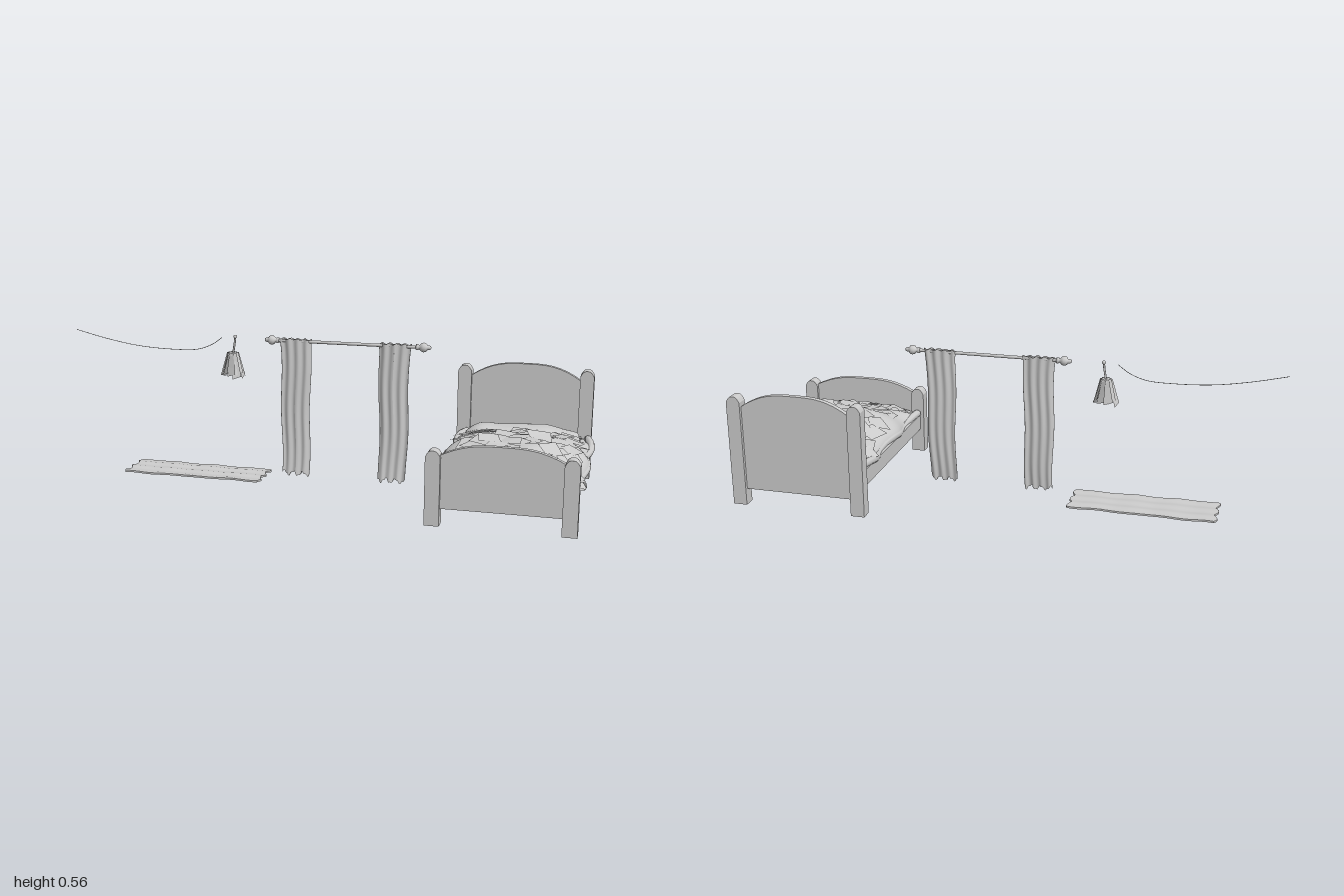
import * as THREE from 'three';
import { mergeGeometries } from 'three/addons/utils/BufferGeometryUtils.js';

const smooth = new THREE.MeshStandardMaterial({ color: 0xcccccc, side: THREE.DoubleSide });
const flat = new THREE.MeshStandardMaterial({ color: 0xcccccc, side: THREE.DoubleSide, flatShading: true });

let seed = 7;
const rnd = (a = 0, b = 1) => {
  seed = (seed * 16807) % 2147483647;
  return a + (b - a) * seed / 2147483647;
};

function add(parent, name, geo, mat = flat, x = 0, y = 0, z = 0) {
  const m = new THREE.Mesh(geo, mat);
  m.name = name;
  m.position.set(x, y, z);
  parent.add(m);
  return m;
}

// Move every vertex by a rule
function warp(geo, rule) {
  const p = geo.attributes.position, v = new THREE.Vector3();
  for (let i = 0; i < p.count; i++) {
    rule(v.fromBufferAttribute(p, i));
    p.setXYZ(i, v.x, v.y, v.z);
  }
  geo.computeVertexNormals();
  return geo;
}

// Upright shape with an arched top, extruded along z and centred on z = 0
function archedBoard(width, bottom, shoulder, top, depth) {
  const w = width / 2, s = new THREE.Shape();
  s.moveTo(-w, bottom);
  s.lineTo(w, bottom);
  s.lineTo(w, shoulder);
  s.bezierCurveTo(w * 0.6, top, w * 0.35, top, 0, top);
  s.bezierCurveTo(-w * 0.35, top, -w * 0.6, top, -w, shoulder);
  const g = new THREE.ExtrudeGeometry(s, { depth, bevelEnabled: false, curveSegments: 8 });
  return g.translate(0, 0, -depth / 2);
}

// Blanket height along the bed, from head to foot
const ridge = new THREE.SplineCurve([
  [-0.32, 0.165], [-0.25, 0.18], [-0.18, 0.2], [-0.1, 0.225], [-0.02, 0.243], [0.08, 0.247],
  [0.16, 0.235], [0.24, 0.21], [0.29, 0.185], [0.32, 0.16]].map(p => new THREE.Vector2(...p)));
const bedX = 0.727;

// Point on the blanket for u across and v along, both from -1 to 1
function blanketPoint(u, v) {
  const c = ridge.getPoint((v + 1) / 2);
  const hem = 0.15 + 0.008 * Math.sin(c.x * 22 + 1);
  const dome = Math.sqrt(Math.max(0, 1 - Math.pow(Math.abs(u), 2.6)));
  const bump = 0.006 * Math.sin(u * 7 + c.x * 18) * Math.cos(c.x * 25 - u * 3) * dome;
  const half = 0.252 + 0.009 * Math.sin(c.x * 24);
  return new THREE.Vector3(bedX + half * u, hem + (c.y - hem) * dome + bump, c.x + 0.006 * Math.sin(u * 9));
}

function buildBed() {
  const bed = new THREE.Group();
  bed.name = 'bed';
  bed.position.x = 0;
  // Head and foot: two round-topped posts and an arched panel each
  for (const [end, z, post, edge, top] of [['head', -0.347, 0.42, 0.375, 0.435], ['foot', 0.347, 0.265, 0.245, 0.29]]) {
    for (const x of [0.481, 0.944])
      add(bed, end + 'Post', archedBoard(0.052, 0, post - 0.022, post, 0.045), flat, x, 0, z);
    add(bed, end + 'Board', archedBoard(0.43, 0.06, edge, top, 0.02), flat, 0.7125, 0, z);
  }
  // Side rails and base
  for (const x of [0.481, 0.944])
    add(bed, 'sideRail', new THREE.BoxGeometry(0.022, 0.06, 0.65), flat, x, 0.125, 0);
  add(bed, 'bedBase', new THREE.BoxGeometry(0.45, 0.012, 0.66), flat, 0.7125, 0.103, 0);
  add(bed, 'mattress', new THREE.BoxGeometry(0.44, 0.06, 0.64), flat, 0.7125, 0.138, 0);
  // Soft pillow at the head
  const pillow = warp(new THREE.SphereGeometry(1, 32, 16), v => {
    const sq = a => Math.sign(a) * Math.pow(Math.abs(a), 0.6);
    v.set(sq(v.x) * 0.215, v.y * 0.04 + 0.004 * Math.sin(v.x * 8), sq(v.z) * 0.063);
  });
  add(bed, 'pillow', pillow, smooth, 0.715, 0.174, -0.258);
  // Rumpled blanket
  const cover = warp(new THREE.PlaneGeometry(2, 2, 44, 56), v => {
    v.copy(blanketPoint(Math.sin(v.x * Math.PI / 2), -v.y));
  });
  add(bed, 'blanket', cover, smooth);
  // Rolled hem along both long sides
  for (const side of [-1, 1]) {
    const path = [];
    for (let i = 0; i <= 16; i++) {
      const p = blanketPoint(side, -0.97 + 1.94 * i / 16);
      path.push(p.add(new THREE.Vector3(-side * 0.012, 0.008, 0)));
    }
    add(bed, 'blanketHem', new THREE.TubeGeometry(new THREE.CatmullRomCurve3(path), 48, 0.015, 8), smooth);
  }
  // Overlapping loose patches lying on the blanket
  const patches = [], e = 0.02;
  for (let i = 0; i < 7; i++) for (let j = 0; j < 10; j++) {
    const u = -0.88 + 1.76 * (i + rnd(0.1, 0.9)) / 7, v = -0.74 + 1.6 * (j + rnd(0.1, 0.9)) / 10;
    const p = blanketPoint(u, v);
    const du = blanketPoint(u + e, v).sub(p), dv = blanketPoint(u, v + e).sub(p);
    const n = dv.cross(du).normalize();
    n.add(new THREE.Vector3(rnd(-0.22, 0.22), 0.5, rnd(-0.22, 0.22))).normalize();
    const size = rnd(0.05, 0.078);
    const g = warp(new THREE.PlaneGeometry(size, size * rnd(0.7, 1.1)), w => {
      w.x += rnd(-0.013, 0.013);
      w.y += rnd(-0.013, 0.013);
      w.z += rnd(-0.002, 0.004);
    });
    g.rotateZ(rnd(0, 6.28));
    g.applyQuaternion(new THREE.Quaternion().setFromUnitVectors(new THREE.Vector3(0, 0, 1), n));
    patches.push(g.translate(p.x, p.y + 0.006, p.z));
  }
  add(bed, 'blanketPatches', mergeGeometries(patches));
  return bed;
}

function buildCurtains() {
  const g = new THREE.Group();
  g.name = 'curtains';
  g.position.set(0, 0.54, -0.022);
  add(g, 'curtainRod', new THREE.CylinderGeometry(0.006, 0.006, 0.6, 12).rotateZ(Math.PI / 2), smooth, 0.085);
  // Turned finials: collar, neck, ball and tip
  const profile = [[0, -0.012], [0.011, -0.012], [0.011, -0.005], [0.007, 0], [0.015, 0.007], [0.018, 0.016],
    [0.015, 0.025], [0.008, 0.03], [0.009, 0.035], [0.006, 0.042], [0, 0.044]].map(p => new THREE.Vector2(...p));
  for (const side of [-1, 1])
    add(g, 'finial', new THREE.LatheGeometry(profile, 16).rotateZ(-side * Math.PI / 2), smooth, 0.085 + side * 0.272);
  // Folded cloths looped over the rod
  for (const [cx, phase] of [[-0.11, 0], [0.265, 2]]) {
    const cloth = warp(new THREE.CylinderGeometry(1, 1, 1, 64, 24, true), v => {
      const t = 0.5 - v.y, a = v.x, b = v.z;
      const ragged = 0.008 * Math.sin(a * 9 + phase) + 0.004 * Math.sin(a * 23);
      v.x = a * (0.058 - 0.005 * t + 0.004 * Math.exp(-t * 25)) + 0.003 * Math.sin(t * 9 + phase);
      v.y = 0.008 + 0.003 * Math.sin(a * 14) * (1 - t) - t * (0.517 + ragged);
      v.z = b * (0.009 - 0.005 * t) + 0.0035 * Math.sin(a * 11 + phase + t) + 0.012 * Math.pow(t, 5);
    });
    add(g, 'curtain', cloth, smooth, cx);
  }
  return g;
}

function buildLamp() {
  const g = new THREE.Group();
  g.name = 'hangingLamp';
  g.position.set(-0.358, 0, -0.023);
  const stem = new THREE.CatmullRomCurve3([[0, 0.475, 0], [0.004, 0.5, 0], [0.008, 0.525, 0], [0.01, 0.545, 0]]
    .map(p => new THREE.Vector3(...p)));
  add(g, 'lampStem', new THREE.TubeGeometry(stem, 10, 0.004, 8), smooth);
  add(g, 'stemKnob', new THREE.SphereGeometry(0.007, 12, 8), smooth, 0.01, 0.545);
  add(g, 'shadeCap', new THREE.CylinderGeometry(0.016, 0.021, 0.008, 12), smooth, 0, 0.481);
  add(g, 'innerShade', new THREE.CylinderGeometry(0.016, 0.03, 0.07, 10, 1, true), flat, 0, 0.447);
  // Flared, overlapping strips around the shade
  for (let i = 0; i < 11; i++) {
    const lean = rnd(-0.008, 0.008), out = rnd(0.034, 0.044), drop = rnd(0.078, 0.094);
    const strip = warp(new THREE.PlaneGeometry(1, 1, 1, 3), v => {
      const t = 0.5 - v.y;
      v.set(v.x * (0.016 + 0.017 * t) + lean * t, 0.485 - drop * t + v.x * 0.01 * t, 0.018 + (out - 0.018) * t + v.x * 0.006);
    });
    add(g, 'shadeStrip', strip).rotation.y = i * Math.PI * 2 / 11;
  }
  return g;
}

export function createModel() {
  const model = new THREE.Group();
  model.name = 'bedroomSet';
  model.add(buildBed(), buildCurtains(), buildLamp());

  // Thin sagging cord
  const sag = new THREE.CatmullRomCurve3([[-1, 0.543], [-0.87, 0.513], [-0.74, 0.492], [-0.6, 0.485], [-0.5, 0.49],
    [-0.44, 0.512], [-0.4, 0.54]].map(([x, y]) => new THREE.Vector3(x, y, -0.022)));
  add(model, 'cord', new THREE.TubeGeometry(sag, 60, 0.0012, 5), smooth);

  // Rug with ragged ends and a slightly wavy surface
  const rug = warp(new THREE.BoxGeometry(0.54, 0.007, 0.166, 40, 1, 14), v => {
    const s = v.x / 0.27, w = v.z / 0.083;
    v.x += 0.007 * s ** 6 * Math.sin(w * 8 + s * 2);
    v.z += 0.003 * w * Math.sin(s * 9) - 0.003 * w * s;
    v.y += 0.0018 * Math.sin(w * 9) + 0.0008 * Math.sin(s * 12);
  });
  add(model, 'rug', rug, smooth, -0.51, 0.0062, -0.025);
  return model;
}
